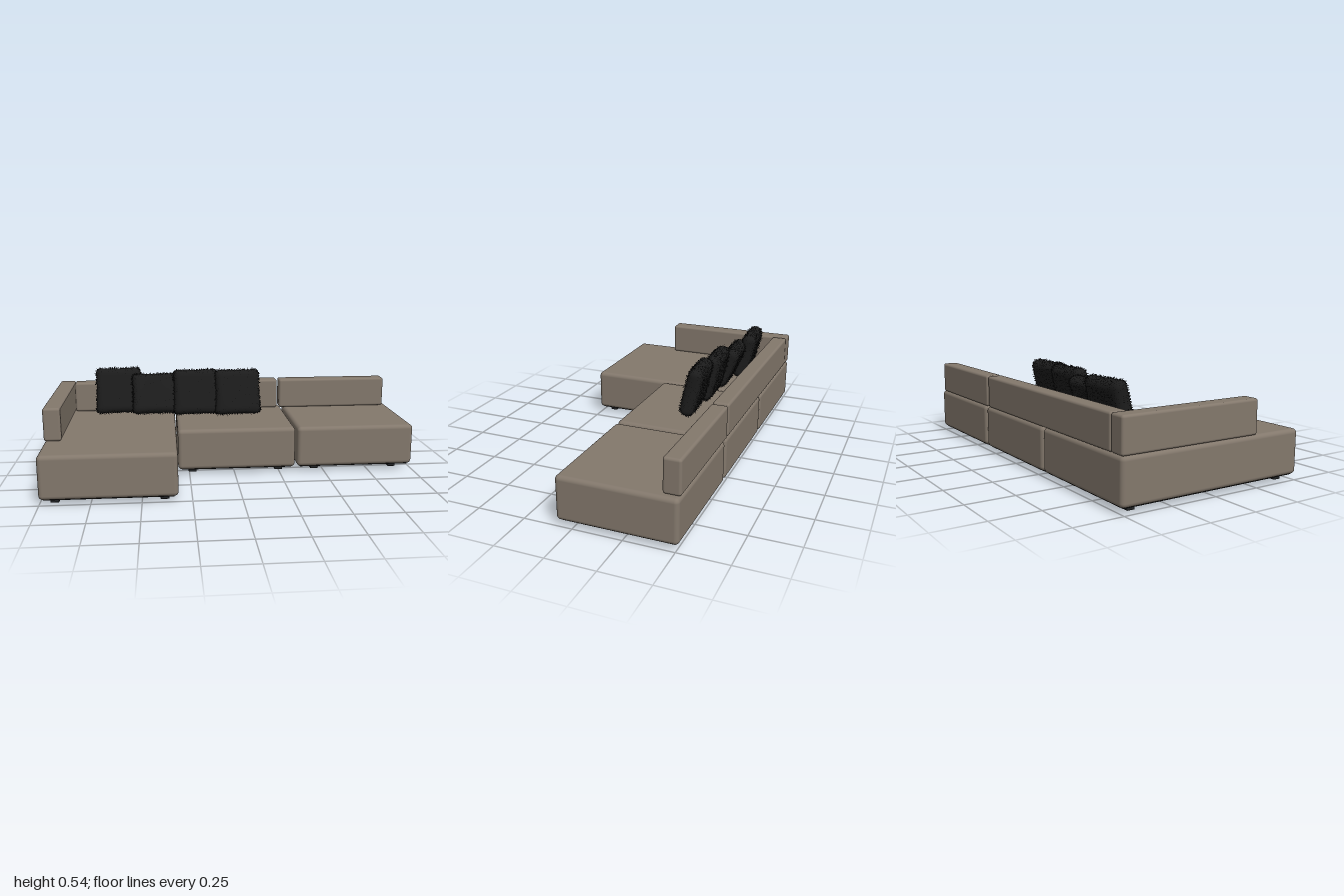
import * as THREE from 'three';
import { mergeVertices } from 'three/addons/utils/BufferGeometryUtils.js';
import { RoundedBoxGeometry } from 'three/addons/geometries/RoundedBoxGeometry.js';

const material = (name, color, side = THREE.FrontSide) => {
  const m = new THREE.MeshStandardMaterial({ color, side });
  m.name = name;
  return m;
};

function seededRandom(seed) {
  return () => (seed = (seed * 16807) % 2147483647) / 2147483647;
}

// Soft pillow: a box rounded at the rim, pinched at its corners
function pillowGeometry(w, h, d) {
  const r = 0.034;
  const box = new THREE.BoxGeometry(w, h, d, 24, 24, 8);
  box.deleteAttribute('uv');
  box.deleteAttribute('normal');
  const geo = mergeVertices(box);
  const pos = geo.attributes.position;
  const half = new THREE.Vector3(w / 2 - r, h / 2 - r, d / 2 - r);
  const p = new THREE.Vector3(), core = new THREE.Vector3();
  for (let i = 0; i < pos.count; i++) {
    p.fromBufferAttribute(pos, i);
    core.copy(p).clamp(half.clone().negate(), half);
    p.sub(core).setLength(r).add(core);
    const u = (2 * p.x) / w, v = (2 * p.y) / h;
    const pinch = 1 - 0.22 * u * u * v * v;
    pos.setXYZ(i,
      p.x * (0.97 + 0.05 * v * v - 0.02 * v),
      p.y * (0.97 + 0.04 * u * u),
      p.z * pinch);
  }
  geo.computeVertexNormals();
  return geo;
}

// Short tufts standing on a surface
function furGeometry(base, seed) {
  const rand = seededRandom(seed);
  const pos = base.attributes.position, nor = base.attributes.normal;
  const points = [], normals = [];
  const jitter = (s) => new THREE.Vector3(rand() - 0.5, rand() - 0.5, rand() - 0.5).multiplyScalar(s);
  const p = new THREE.Vector3(), n = new THREE.Vector3();
  for (let i = 0; i < pos.count; i++) {
    n.fromBufferAttribute(nor, i);
    for (let k = 0; k < 2; k++) {
      p.fromBufferAttribute(pos, i).add(jitter(0.008)).addScaledVector(n, -0.002);
      const side = jitter(1).cross(n).setLength(0.0025);
      const tip = p.clone().addScaledVector(n, 0.005 + 0.005 * rand()).add(jitter(0.008));
      for (const q of [p.clone().add(side), p.clone().sub(side), tip]) {
        points.push(q.x, q.y, q.z);
        normals.push(n.x, n.y, n.z);
      }
    }
  }
  const geo = new THREE.BufferGeometry();
  geo.setAttribute('position', new THREE.Float32BufferAttribute(points, 3));
  geo.setAttribute('normal', new THREE.Float32BufferAttribute(normals, 3));
  return geo;
}

export function createModel() {
  const model = new THREE.Group();
  model.name = 'sectionalSofa';
  const fabric = material('taupeFabric', 0x83786c);
  const under = material('blackUnderside', 0x141414);
  const legMat = material('darkLegs', 0x202224);
  const pillowMat = material('blackPillow', 0x1c1c1c);
  const furMat = material('blackFur', 0x1c1c1c, THREE.DoubleSide);

  // Block given by its bounds, with optional rounding
  const block = (name, mat, x0, x1, y0, y1, z0, z1, r = 0) => {
    const s = [x1 - x0, y1 - y0, z1 - z0];
    const geo = r ? new RoundedBoxGeometry(...s, 4, r) : new THREE.BoxGeometry(...s);
    const mesh = new THREE.Mesh(geo, mat);
    mesh.name = name;
    mesh.position.set((x0 + x1) / 2, (y0 + y1) / 2, (z0 + z1) / 2);
    model.add(mesh);
  };

  // Seats with underside panel and four legs: x0, x1, front z, leg x positions
  const back = -0.512;
  const seats = [
    ['chaiseSeat', -1, -0.32, 0.512, [-0.928, -0.387]],
    ['middleSeat', -0.312, 0.336, 0.083, [-0.232, 0.25]],
    ['endSeat', 0.348, 1, 0.083, [0.455, 0.902]],
  ];
  for (const [name, x0, x1, front, legXs] of seats) {
    block(name, fabric, x0, x1, 0.029, 0.254, back, front, 0.022);
    block(name + 'Underside', under, x0 + 0.02, x1 - 0.02, 0.025, 0.033, back + 0.02, front - 0.02);
    for (const x of legXs)
      for (const z of [-0.43, front - 0.075])
        block('leg', legMat, x - 0.022, x + 0.022, 0, 0.03, z - 0.02, z + 0.02, 0.004);
  }

  // Armrest and backrests
  block('armrest', fabric, -1, -0.91, 0.254, 0.427, back, 0.243, 0.013);
  block('longBackrest', fabric, -0.91, 0.306, 0.254, 0.427, back, -0.425, 0.013);
  block('endBackrest', fabric, 0.32, 0.97, 0.254, 0.427, back, -0.425, 0.013);

  // Furry pillows leaning back in a staggered row: x, y, z, height, lean, yaw
  const pillows = [
    [-0.645, 0.397, -0.338, 0.265, 0.25, 0.07],
    [-0.433, 0.384, -0.29, 0.235, 0.4, 0.07],
    [-0.195, 0.395, -0.267, 0.26, 0.24, 0.05],
    [0.045, 0.394, -0.25, 0.26, 0.22, 0.07],
  ];
  pillows.forEach(([x, y, z, h, lean, yaw], i) => {
    const pillow = new THREE.Group();
    pillow.name = 'pillow' + (i + 1);
    const geo = pillowGeometry(0.262, h, 0.082);
    const body = new THREE.Mesh(geo, pillowMat);
    body.name = 'pillowBody';
    const fur = new THREE.Mesh(furGeometry(geo, 101 + i * 37), furMat);
    fur.name = 'pillowFur';
    pillow.add(body, fur);
    pillow.position.set(x, y, z);
    pillow.rotation.set(-lean, yaw, 0, 'YXZ');
    model.add(pillow);
  });
  return model;
}
